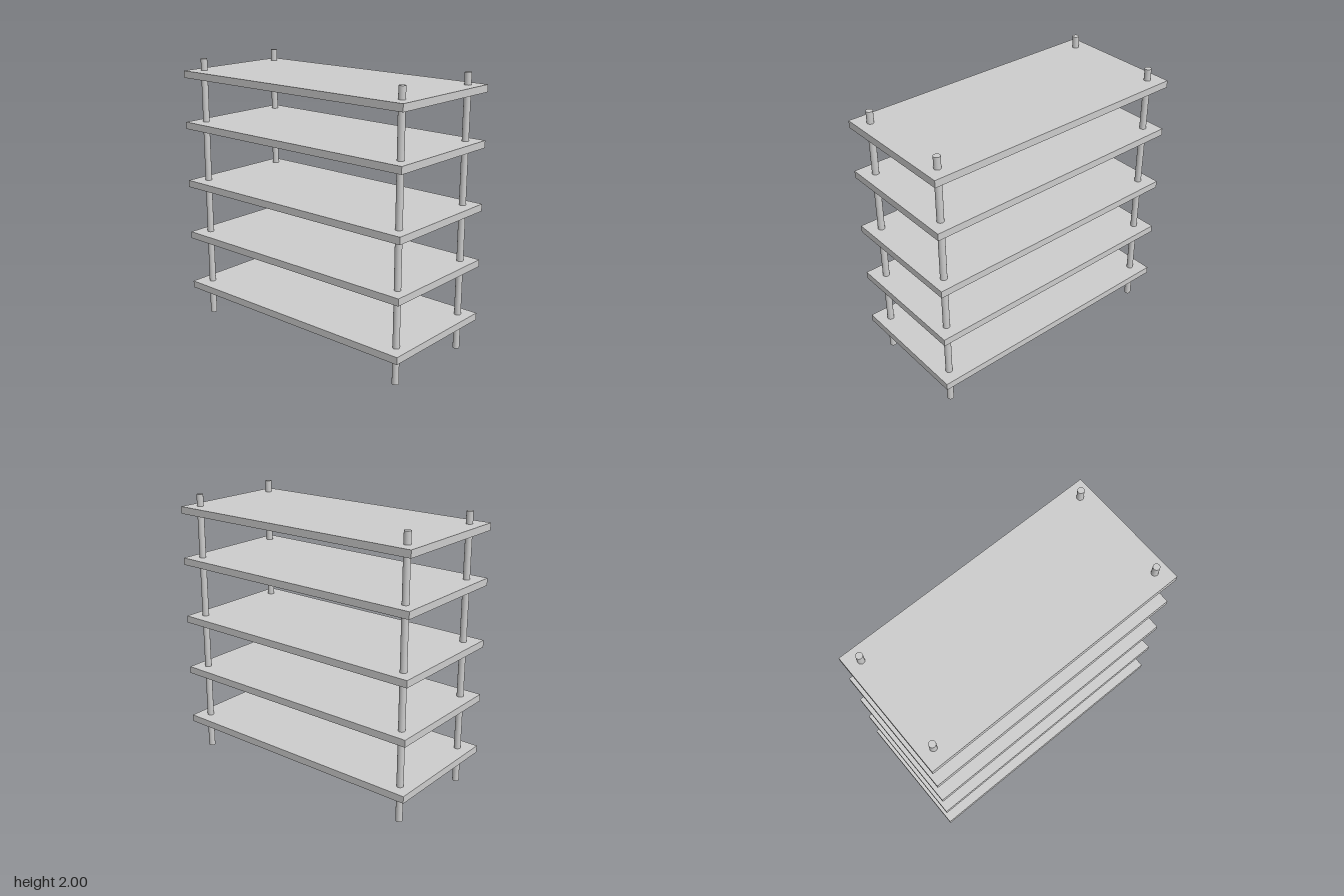
import * as THREE from 'three';

export function createModel() {
  const group = new THREE.Group();
  const material = new THREE.MeshStandardMaterial({ color: 0xcccccc });

  // Five flat shelves, unevenly spaced
  const shelfGeometry = new THREE.BoxGeometry(0.94, 0.052, 2);
  [0.237, 0.645, 1.056, 1.506, 1.888].forEach((y, i) => {
    const shelf = new THREE.Mesh(shelfGeometry, material);
    shelf.name = `shelf${i + 1}`;
    shelf.position.y = y;
    group.add(shelf);
  });

  // Four round posts running through all the shelves
  const postGeometry = new THREE.CylinderGeometry(0.024, 0.024, 2, 32);
  for (const [side, x] of [['Right', -0.357], ['Left', 0.368]]) {
    for (const [end, z] of [['front', 0.906], ['back', -0.902]]) {
      const post = new THREE.Mesh(postGeometry, material);
      post.name = `${end}${side}Post`;
      post.position.set(x, 1, z);
      group.add(post);
    }
  }

  return group;
}
